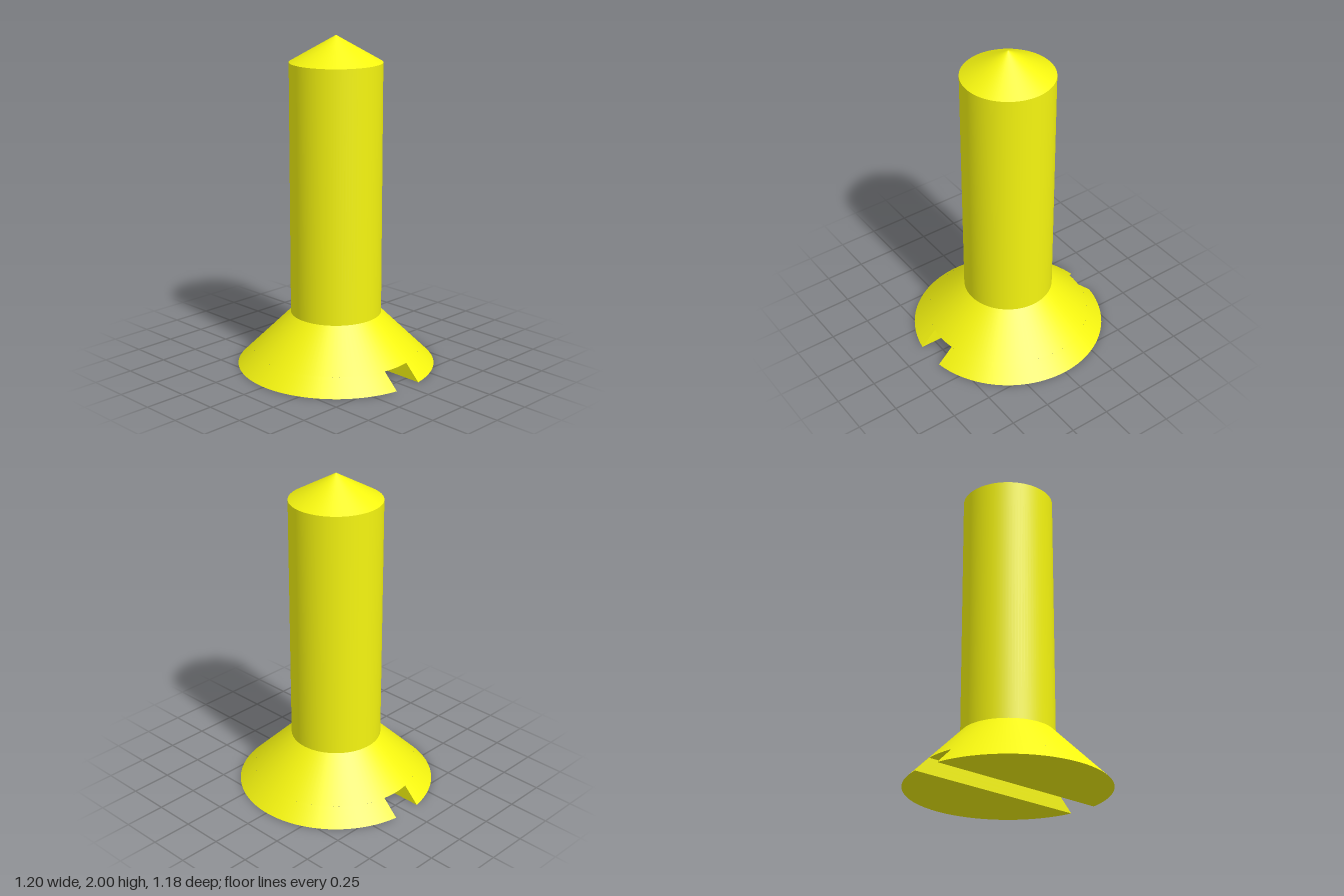
import * as THREE from 'three';
import { ParametricGeometry } from 'three/addons/geometries/ParametricGeometry.js';

const SEG = 96;
const HEAD_R = 0.598, SHAFT_R = 0.274;
const SHOULDER_Y = HEAD_R - SHAFT_R; // 45 degree countersink
const TIP_Y = 1.843, TOP_Y = 2;
const SLOT_HALF = 0.0935, SLOT_H = 0.095;

const radiusAt = (y) => HEAD_R - y;

export function createModel() {
  const model = new THREE.Group();
  model.name = 'countersunkScrew';
  const material = new THREE.MeshStandardMaterial({ color: 0xf5f510 });

  const add = (parent, name, geometry) => {
    const mesh = new THREE.Mesh(geometry, material);
    mesh.name = name;
    parent.add(mesh);
    return mesh;
  };

  // Open conical or cylindrical band between two heights
  const band = (name, rBottom, rTop, y0, y1) => {
    const geometry = new THREE.CylinderGeometry(rTop, rBottom, y1 - y0, SEG, 1, true);
    add(model, name, geometry.translate(0, (y0 + y1) / 2, 0));
  };

  // Surface given by a rule on u, v in 0..1
  const surface = (parent, name, rule, slices, stacks) => {
    const geometry = new ParametricGeometry((u, v, p) => p.set(...rule(u, v)), slices, stacks);
    geometry.computeVertexNormals();
    add(parent, name, geometry);
  };

  band('tip', SHAFT_R, 0, TIP_Y, TOP_Y);
  band('shaft', SHAFT_R, SHAFT_R, SHOULDER_Y, TIP_Y);
  band('upperHead', radiusAt(SLOT_H), SHAFT_R, SLOT_H, SHOULDER_Y);

  // Ceiling of the driver slot, ending on the head's cone
  const rSlot = radiusAt(SLOT_H);
  surface(model, 'slotCeiling', (u, v) => {
    const x = (2 * u - 1) * SLOT_HALF;
    return [x, SLOT_H, (2 * v - 1) * Math.sqrt(rSlot * rSlot - x * x)];
  }, 8, 1);

  // The two halves of the head on either side of the slot
  for (const [side, turn] of [['left', 0], ['right', Math.PI]]) {
    const half = new THREE.Group();
    half.name = side + 'LowerHead';
    half.rotation.y = turn;
    model.add(half);

    const rim = (u, y) => {
      const r = radiusAt(y);
      const angle = Math.acos(SLOT_HALF / r) * (1 - 2 * u);
      return [r * Math.cos(angle), y, r * Math.sin(angle)];
    };
    surface(half, side + 'HeadCone', (u, v) => rim(u, v * SLOT_H), SEG / 2, 4);
    surface(half, side + 'HeadFace', (u, v) => {
      const [x, y, z] = rim(u, 0);
      return [THREE.MathUtils.lerp(SLOT_HALF, x, v), y, z];
    }, SEG / 2, 1);
    surface(half, side + 'SlotWall', (u, v) => {
      const y = v * SLOT_H;
      const end = Math.sqrt(radiusAt(y) ** 2 - SLOT_HALF ** 2);
      return [SLOT_HALF, y, (2 * u - 1) * end];
    }, 1, 4);
  }
  return model;
}
